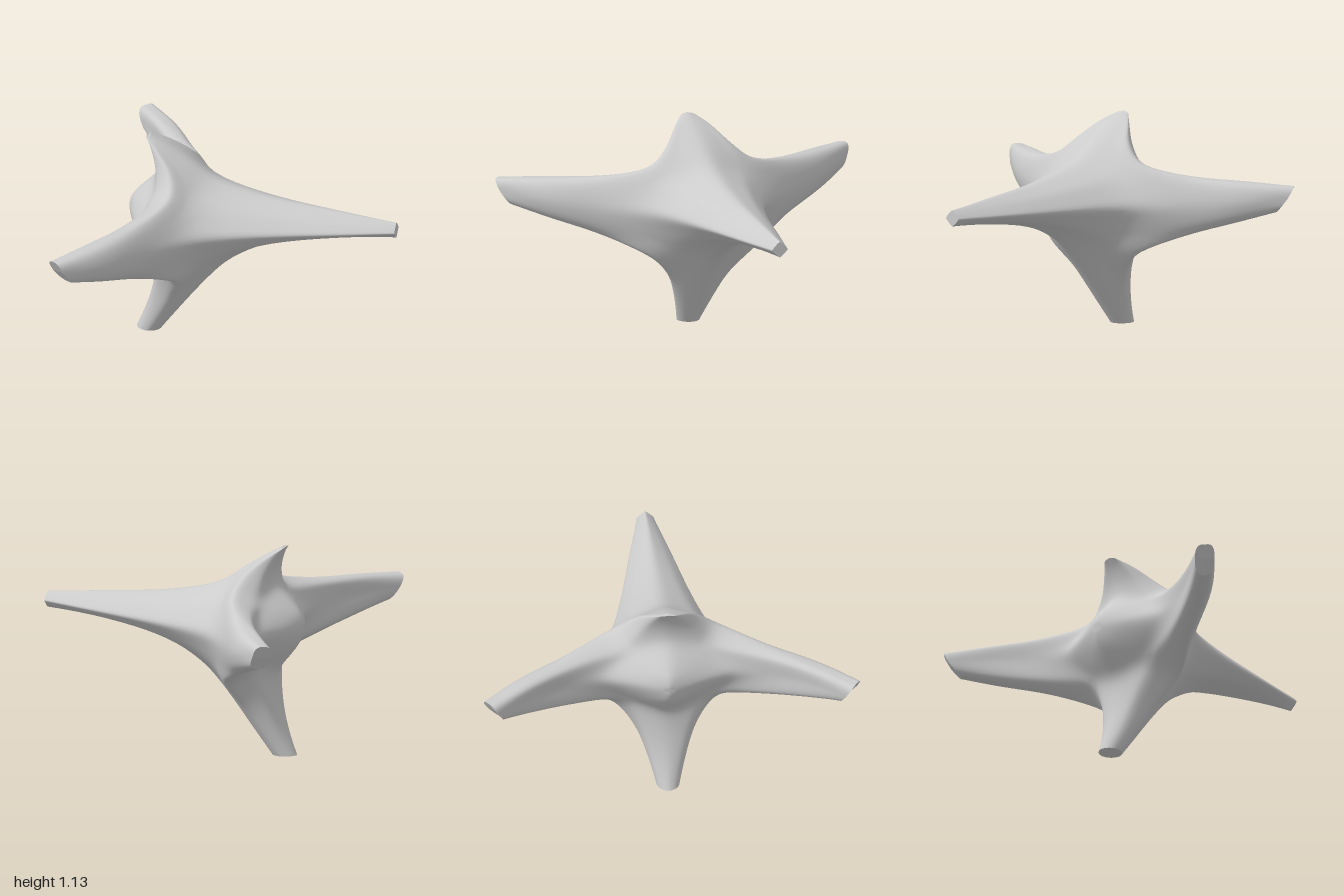
import * as THREE from 'three';
import { mergeVertices } from 'three/addons/utils/BufferGeometryUtils.js';

const N = 16; // steps along and across each quarter of a limb

// Ridge lines running from the tip of one limb to the tip of the next;
// the fourth point is where the two limbs meet.
const RIDGES = {
  'nose fin': [[.828, .775, 0], [.5, .81, 0], [.15, .845, 0], [-.15, .92, 0], [-.3, 1.01, 0], [-.42, 1.08, 0], [-.515, 1.13, 0]],
  'nose foot': [[.828, .688, 0], [.5, .655, 0], [.15, .58, 0], [-.08, .435, 0], [-.22, .295, 0], [-.34, .15, 0], [-.455, 0, 0]],
  'nose armL': [[.828, .73, .045], [.5, .715, .125], [.15, .7, .205], [-.19, .69, .325], [-.38, .69, .53], [-.55, .72, .8], [-.73, .745, .985]],
  'armL fin': [[-.79, .805, .975], [-.63, .825, .77], [-.47, .845, .54], [-.34, .91, .3], [-.37, 1, .18], [-.46, 1.08, .1], [-.525, 1.12, .04]],
  'armL foot': [[-.725, .668, .91], [-.6, .605, .73], [-.45, .525, .51], [-.295, .41, .3], [-.36, .28, .17], [-.44, .14, .107], [-.52, 0, .062]],
  'armL back': [[-.81, .735, .92], [-.68, .73, .75], [-.56, .71, .55], [-.515, .7, .38], [-.54, .7, .25], [-.59, .7, .12], [-.635, .7, 0]],
  'back fin': [[-.635, .7, 0], [-.617, .77, 0], [-.56, .84, 0], [-.49, .92, 0], [-.48, .99, 0], [-.5, 1.07, 0], [-.535, 1.13, 0]],
  'back foot': [[-.635, .7, 0], [-.612, .615, 0], [-.555, .53, 0], [-.49, .44, 0], [-.485, .34, 0], [-.52, .18, 0], [-.59, 0, 0]],
};
const AXES = [['nose', 'back'], ['fin', 'foot'], ['armL', 'armR']];
// 0 gives a diamond section, 1 a round one, more a rounded box
const ROUNDNESS = { nose: .2, back: .6, fin: .9, foot: .9, armL: 1.4, armR: 1.4 };

// Both directions of every ridge, plus the mirrored right side
const curves = {};
for (const [key, pts] of Object.entries(RIDGES)) {
  for (const side of [1, -1]) {
    const [a, b] = (side > 0 ? key : key.replace('armL', 'armR')).split(' ');
    const v = pts.map(([x, y, z]) => new THREE.Vector3(x, y, z * side));
    curves[`${a} ${b}`] = new THREE.CatmullRomCurve3(v);
    curves[`${b} ${a}`] = new THREE.CatmullRomCurve3([...v].reverse());
  }
}
// t = 0 at the tip of limb a, t = 1 where it meets limb b
const ridge = (a, b, t) => curves[`${a} ${b}`].getPoint(t / 2);

const average = (pts) => pts.reduce((s, p) => s.add(p), new THREE.Vector3()).divideScalar(pts.length);

function limbAxis(limb, t) {
  const around = AXES.filter((pair) => !pair.includes(limb)).flat();
  return average(around.map((other) => ridge(limb, other, t)));
}

// Point on the quarter of limb i between its ridges towards j and k
function limbPoint(i, j, k, hub, t, u) {
  const a = ridge(i, j, t), b = ridge(i, k, t);
  const p = a.clone().lerp(b, u);
  const middle = ridge(i, j, 1).lerp(ridge(i, k, 1), .5);
  p.addScaledVector(hub.clone().sub(middle), t * t * (1 - Math.abs(2 * u - 1)));
  const out = a.add(b).addScaledVector(limbAxis(i, t), -2);
  return p.addScaledVector(out, ROUNDNESS[i] * (1 - t * t) * .83 * u * (1 - u));
}

function fromTriangles(points) {
  const g = new THREE.BufferGeometry().setFromPoints(points);
  g.computeVertexNormals();
  return g;
}

// Soften the ridges by averaging neighbours, keeping the open tips in place
function relax(g, rounds) {
  const pos = g.attributes.position, idx = g.index.array;
  const links = Array.from({ length: pos.count }, () => new Map());
  for (let f = 0; f < idx.length; f += 3) {
    for (let e = 0; e < 3; e++) {
      const a = idx[f + e], b = idx[f + (e + 1) % 3];
      links[a].set(b, (links[a].get(b) || 0) + 1);
      links[b].set(a, (links[b].get(a) || 0) + 1);
    }
  }
  const fixed = links.map((m) => [...m.values()].some((n) => n === 1));
  for (let r = 0; r < rounds; r++) {
    const old = links.map((_, n) => new THREE.Vector3().fromBufferAttribute(pos, n));
    links.forEach((m, n) => {
      if (fixed[n] || !m.size) return;
      const p = old[n].clone().lerp(average([...m.keys()].map((q) => old[q])), .5);
      pos.setXYZ(n, p.x, p.y, p.z);
    });
  }
}

export function createModel() {
  const group = new THREE.Group();
  const material = new THREE.MeshStandardMaterial({ color: 0xcccccc });
  const skin = [], ends = [];
  const tri = (list, a, b, c, flip) => {
    if (a.distanceTo(b) < 1e-5 || b.distanceTo(c) < 1e-5 || a.distanceTo(c) < 1e-5) return;
    list.push(a, ...(flip ? [c, b] : [b, c]));
  };

  // Eight octants, each shared by three limbs
  for (let o = 0; o < 8; o++) {
    const bits = [o & 1, (o >> 1) & 1, (o >> 2) & 1];
    const limbs = AXES.map((pair, n) => pair[bits[n]]);
    const flip = (bits[0] + bits[1] + bits[2]) % 2 === 1;
    const hub = average(limbs.map((l, n) => ridge(l, limbs[(n + 1) % 3], 1)));
    for (let n = 0; n < 3; n++) {
      const [i, j, k] = [limbs[n], limbs[(n + 1) % 3], limbs[(n + 2) % 3]];
      const grid = [];
      for (let r = 0; r <= N; r++) {
        grid.push(Array.from({ length: N + 1 }, (_, c) => limbPoint(i, j, k, hub, r / N, c / N)));
      }
      const centre = limbAxis(i, 0);
      for (let c = 0; c < N; c++) {
        for (let r = 0; r < N; r++) {
          const a = grid[r][c], b = grid[r + 1][c], d = grid[r][c + 1], e = grid[r + 1][c + 1];
          tri(skin, a, b, e, flip);
          tri(skin, a, e, d, flip);
        }
        tri(ends, centre, grid[0][c], grid[0][c + 1], flip);
      }
    }
  }

  // Blended body with nose, arms, fin and foot
  const bodyGeometry = new THREE.BufferGeometry().setFromPoints(skin);
  const merged = mergeVertices(bodyGeometry, 1e-5);
  relax(merged, 6);
  merged.computeVertexNormals();
  const body = new THREE.Mesh(merged, material);
  body.name = 'body';

  // Flat caps closing the limb tips
  const caps = new THREE.Mesh(fromTriangles(ends), material);
  caps.name = 'limbEnds';

  group.add(body, caps);
  return group;
}
